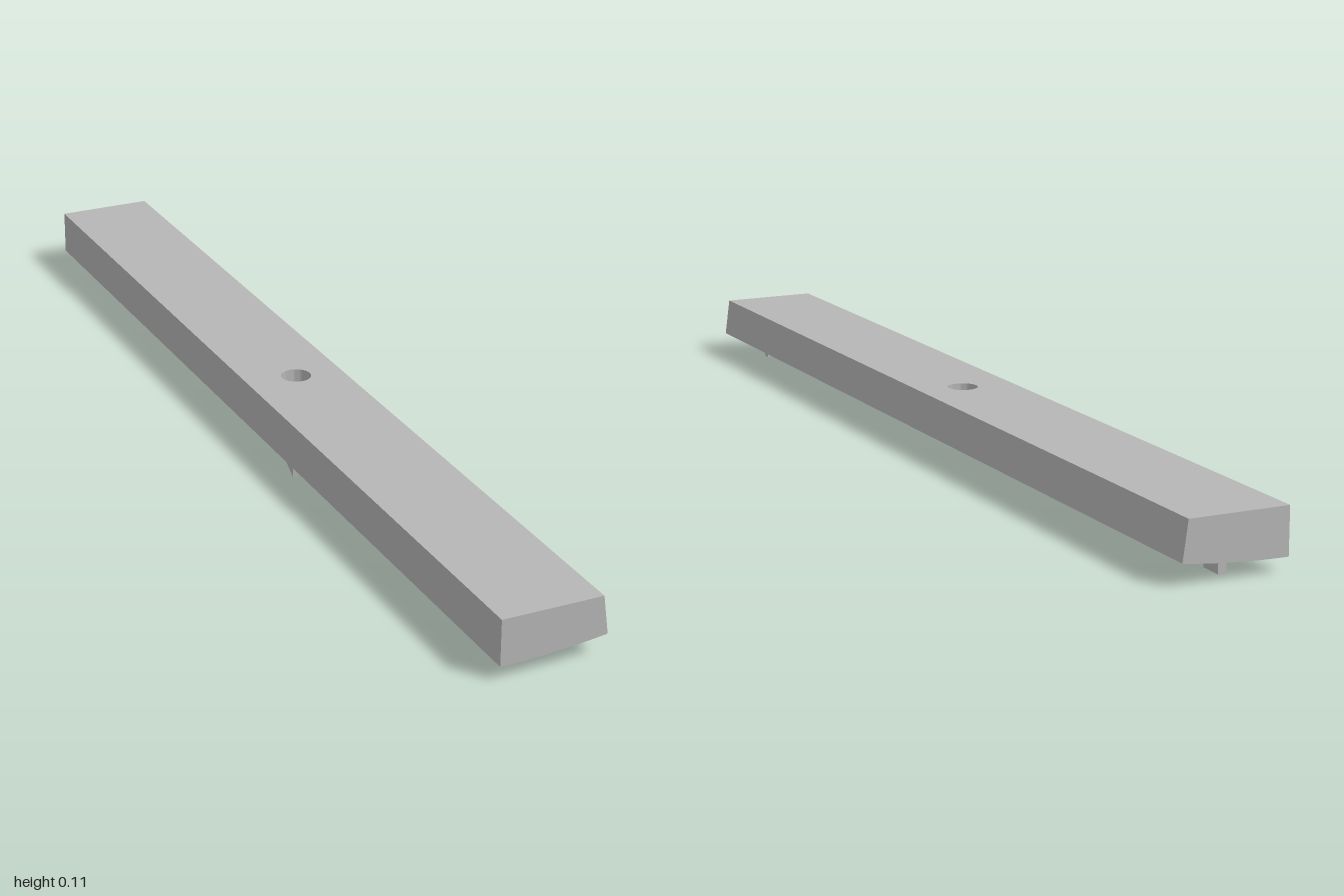
import * as THREE from 'three';
import { toCreasedNormals } from 'three/addons/utils/BufferGeometryUtils.js';

const TOP = 0.115, HALF = 0.1, TOP_EDGE = 0.09, RIDGE = 0.0265, MID = 0.05, STEPS = 14;

// Height of the gently curved underside across the bar
const under = (x) => 0.028 + 0.35 * (x + HALF) ** 2;

// Extrude a plan outline (shape y becomes z) downward, then place each vertex by rule(x, isBottom)
function planSolid(shape, rule) {
  const geo = new THREE.ExtrudeGeometry(shape, { depth: 1, bevelEnabled: false, curveSegments: 24 });
  geo.rotateX(Math.PI / 2);
  const p = geo.attributes.position;
  for (let i = 0; i < p.count; i++) {
    const [x, y] = rule(p.getX(i), p.getY(i) < -0.5);
    p.setXY(i, x, y);
  }
  return toCreasedNormals(geo, 0.5);
}

export function createModel() {
  const group = new THREE.Group();
  const grey = new THREE.MeshStandardMaterial({ color: 0xb6b6b6 });
  grey.name = 'grey';
  const add = (name, geo, parent = group) => {
    const mesh = new THREE.Mesh(geo, grey);
    mesh.name = name;
    parent.add(mesh);
    return mesh;
  };

  const xs = Array.from({ length: STEPS + 1 }, (_, i) => -HALF + (2 * HALF * i) / STEPS);

  // Long bar ends: cross-section with curved underside and one sloping side
  const section = new THREE.Shape([
    ...xs.map((x) => new THREE.Vector2(x, under(x))),
    new THREE.Vector2(TOP_EDGE, TOP),
    new THREE.Vector2(-HALF, TOP),
  ]);
  for (const [name, z] of [['barFront', MID], ['barBack', -1]]) {
    const geo = new THREE.ExtrudeGeometry(section, { depth: 1 - MID, bevelEnabled: false });
    add(name, toCreasedNormals(geo, 0.5).translate(0, 0, z));
  }

  // Bar middle with the round through-hole
  const middle = new THREE.Shape([
    ...xs.map((x) => new THREE.Vector2(x, -MID)),
    ...[...xs].reverse().map((x) => new THREE.Vector2(x, MID)),
  ]);
  middle.holes.push(new THREE.Path().absarc(0, 0, 0.029, 0, Math.PI * 2, true));
  add('barMiddle', planSolid(middle, (x, low) => (low ? [x, under(x)] : [Math.min(x, TOP_EDGE), TOP])));

  // Raised ridges follow the curved underside
  const ridgeRule = (x, low) => [x, under(x) + (low ? -RIDGE : 0.004)];
  const ridge = (name, x1, z1, x2, z2, width = 0.016, parent = group) => {
    const a = new THREE.Vector2(x1, z1), b = new THREE.Vector2(x2, z2);
    const d = b.clone().sub(a).normalize();
    const n = new THREE.Vector2(-d.y, d.x).multiplyScalar(width / 2);
    const shape = new THREE.Shape([
      a.clone().sub(n), b.clone().sub(n), b.clone().add(n), a.clone().add(n),
    ]);
    return add(name, planSolid(shape, ridgeRule), parent);
  };

  // Pair of small pins near the front end
  ridge('frontPinInner', 0.01, 0.87, 0.029, 0.87);
  ridge('frontPinOuter', 0.036, 0.87, 0.055, 0.87);

  // Cross plates
  for (const [name, z] of [['frontCrossPlate', 0.677], ['backCrossPlate', -0.323]]) {
    ridge(name, -0.034, z, 0.01, z);
  }

  // Three-armed ridges
  for (const [name, z] of [['frontThreeArmRidge', 0.387], ['backThreeArmRidge', -0.617]]) {
    const arms = new THREE.Group();
    arms.name = name;
    group.add(arms);
    ridge('stem', -0.04, z, -0.04, z + 0.052, 0.016, arms);
    for (const s of [-1, 1]) ridge('arm', -0.04, z + 0.004, -0.04 + s * 0.032, z - 0.047, 0.016, arms);
  }

  // Slanted strip and the short piece beside it
  ridge('slantedStrip', -0.086, 0.188, -0.06, 0.082, 0.014);
  ridge('shortPiece', -0.047, 0.075, -0.047, 0.03, 0.016);

  // Ring
  const ring = new THREE.Shape().absarc(-0.037, -0.128, 0.038, 0, Math.PI * 2, false);
  ring.holes.push(new THREE.Path().absarc(-0.037, -0.128, 0.023, 0, Math.PI * 2, true));
  add('ring', planSolid(ring, ridgeRule));

  // Lengthwise plate near the back end
  ridge('backPlate', 0.01, -0.93, 0.01, -0.975);

  return group;
}
